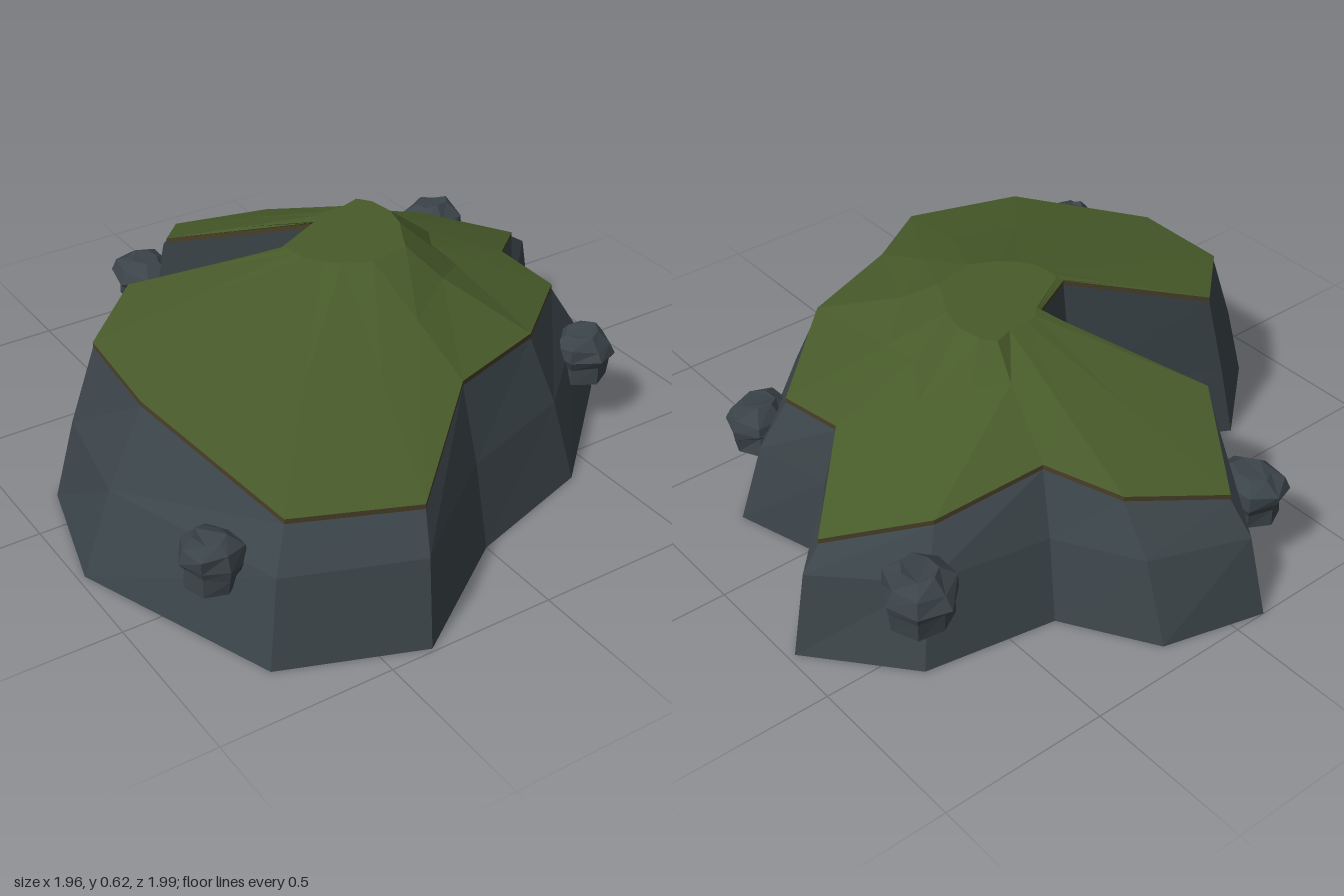
import * as THREE from 'three';

// Outline at the ground [x, z], clockwise seen from above; the last two are the inlet's head
const base = [
  [-0.31, -0.67], [-0.1, -1], [0.2, -0.92], [0.36, -0.66], [0.75, -0.59], [0.98, -0.32],
  [0.7, -0.02], [0.78, 0.25], [0.41, 0.6], [0, 0.73], [-0.37, 0.99], [-0.76, 0.84],
  [-0.98, 0.24], [-0.88, -0.14], [-0.62, -0.36], [-0.2, -0.12], [0, -0.21],
];
// Grass edge [x, y, z]
const rim = [
  [-0.26, 0.46, -0.58], [-0.08, 0.34, -0.86], [0.18, 0.38, -0.72], [0.29, 0.42, -0.52],
  [0.61, 0.36, -0.46], [0.85, 0.3, -0.27], [0.61, 0.41, -0.02], [0.63, 0.39, 0.2],
  [0.34, 0.44, 0.46], [0.02, 0.45, 0.57], [-0.3, 0.34, 0.85], [-0.64, 0.35, 0.72],
  [-0.76, 0.46, 0.2], [-0.74, 0.475, -0.12], [-0.53, 0.505, -0.31], [-0.15, 0.61, -0.09],
  [0.01, 0.61, -0.17],
];
// Summit plateau [x, z]
const summit = [
  [0.04, -0.19], [0.08, -0.2], [0.14, -0.2], [0.2, -0.22], [0.23, -0.18], [0.24, -0.1],
  [0.22, -0.02], [0.18, 0.05], [0.15, 0.11], [0.02, 0.14], [-0.06, 0.1], [-0.1, 0.06],
  [-0.13, 0.02], [-0.14, -0.03], [-0.14, -0.06], [-0.13, -0.08], [0.01, -0.16],
];
// Shoulder between summit and rim: [share of the way out, drop]; the +x side is a broken scarp
const scarp = { 3: [0.3, 0.02], 4: [0.22, 0.04], 5: [0.3, 0.05], 6: [0.3, 0.045], 7: [0.36, 0.04], 8: [0.3, 0.02] };

const lerp = (a, b, t) => a.map((v, i) => v + (b[i] - v) * t);
const material = (color) => new THREE.MeshStandardMaterial({ color, flatShading: true, roughness: 0.95 });

function mesh(name, triangles, mat) {
  const g = new THREE.BufferGeometry();
  g.setAttribute('position', new THREE.Float32BufferAttribute(triangles.flat(2), 3));
  g.computeVertexNormals();
  const m = new THREE.Mesh(g, mat);
  m.name = name;
  return m;
}

// Triangles joining successive closed loops, from outer/lower to inner/upper
function loft(loops) {
  const out = [];
  for (let k = 0; k + 1 < loops.length; k++) {
    const a = loops[k], b = loops[k + 1];
    a.forEach((p, i) => {
      const j = (i + 1) % a.length;
      out.push([a[j], p, b[i]], [a[j], b[i], b[j]]);
    });
  }
  return out;
}

// Flat lid over a loop, facing up or down
function cap(loop, up) {
  const flat = loop.map((p) => new THREE.Vector2(p[0], p[2]));
  return THREE.ShapeUtils.triangulateShape(flat, []).map((f) => {
    const [a, b, c] = f.map((i) => loop[i]);
    const ny = (b[2] - a[2]) * (c[0] - a[0]) - (b[0] - a[0]) * (c[2] - a[2]);
    return (ny > 0) === up ? [a, b, c] : [a, c, b];
  });
}

// Faceted boulder: wide brow over a narrower foot
function boulder(seed, width, height, depth, mat) {
  let s = seed;
  const rand = () => (s = (s * 16807) % 2147483647) / 2147483647;
  for (let i = 0; i < 5; i++) rand();
  const n = 7;
  const rings = [[0, 0.82], [0.4, 0.86], [0.55, 1], [0.8, 0.9], [1, 0.48]].map(([y, r], k) =>
    Array.from({ length: n }, (_, i) => {
      const t = (i / n) * Math.PI * 2 + seed;
      const q = r * (0.88 + 0.22 * rand());
      const yy = k === 0 ? 0 : y - 0.12 * rand();
      return [Math.cos(t) * q * width / 2, yy * height, Math.sin(t) * q * depth / 2];
    }));
  return mesh('boulder', [...loft(rings), ...cap(rings[4], true), ...cap(rings[0], false)], mat);
}

export function createModel() {
  const group = new THREE.Group();
  group.name = 'island';
  const rock = material(0x3b4449);
  const soil = material(0x4a3f28);
  const grass = material(0x485b2a);

  // Cliff: ground, brow at mid height, then up to the soil lip
  const ground = base.map(([x, z]) => [x, 0, z]);
  const lip = rim.map(([x, y, z]) => [x, y - 0.015, z]);
  const brow = ground.map((p, i) => {
    const q = lerp(p, rim[i], 0.45);
    return [q[0], 0.235, q[2]];
  });
  group.add(mesh('cliff', loft([ground, brow, lip]), rock));
  group.add(mesh('underside', cap(ground, false), rock));
  group.add(mesh('soilEdge', loft([lip, rim]), soil));

  // Grassy hill
  const top = summit.map(([x, z]) => [x, 0.62, z]);
  const shoulder = top.map((p, i) => {
    const [t, drop] = scarp[i] || [0.5, 0];
    const q = lerp(p, rim[i], t);
    return [q[0], q[1] - drop, q[2]];
  });
  group.add(mesh('grass', [...loft([rim, shoulder, top]), ...cap(top, true)], grass));

  // Boulders set into the cliff: [x, z, width, height, depth]
  [
    [-0.24, -0.785, 0.19, 0.15, 0.23],
    [0.73, -0.55, 0.21, 0.18, 0.22],
    [0.635, 0.35, 0.21, 0.15, 0.2],
    [-0.795, 0.615, 0.18, 0.15, 0.19],
  ].forEach(([x, z, w, h, d], i) => {
    const b = boulder(11 + i * 7, w, h, d, rock);
    b.position.set(x, 0.16, z);
    group.add(b);
  });
  return group;
}
